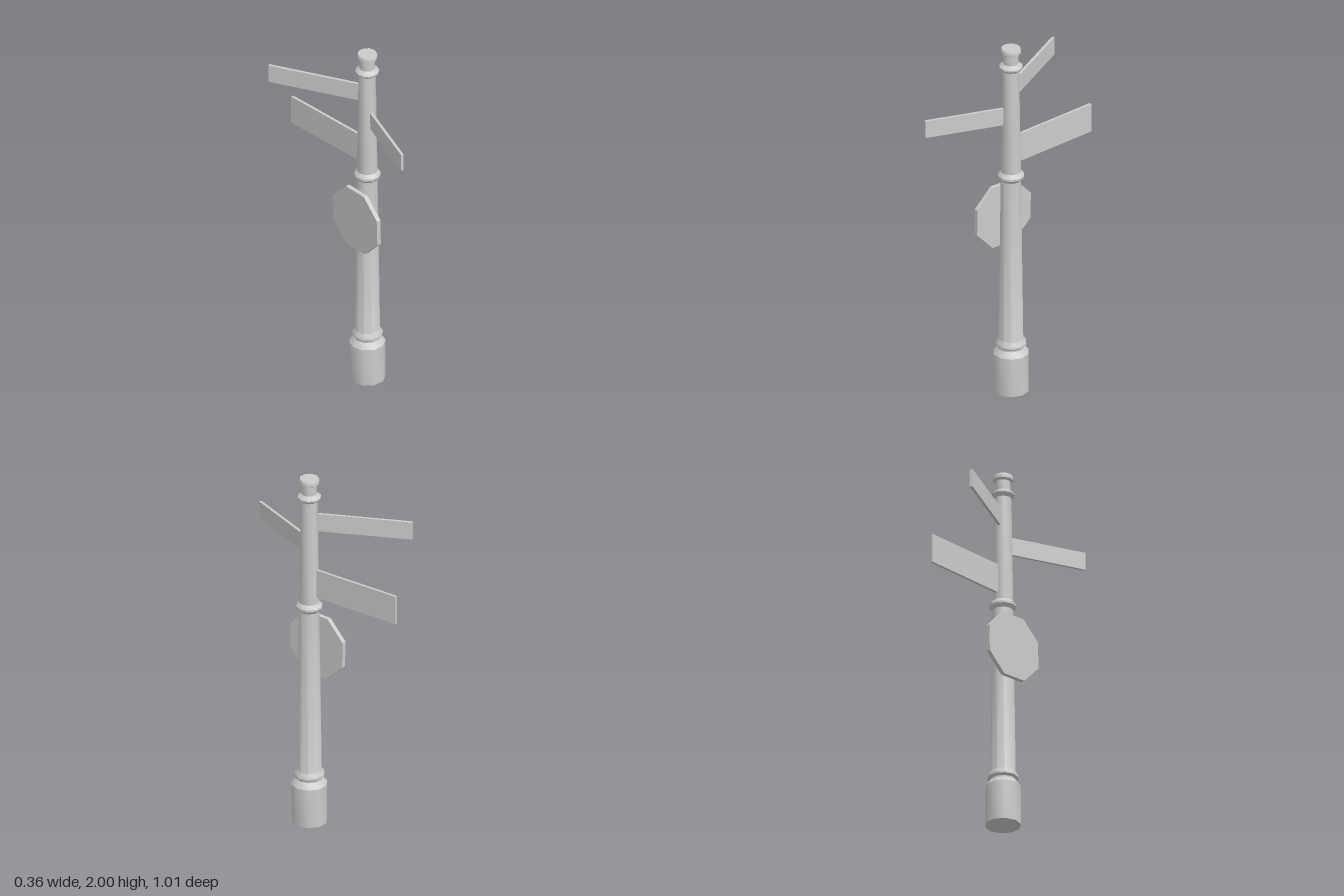
import * as THREE from 'three';
import { toCreasedNormals } from 'three/addons/utils/BufferGeometryUtils.js';

const POST_X = 0.085, POST_Z = 0.05;

export function createModel() {
  const group = new THREE.Group();
  group.name = 'signpost';
  const material = new THREE.MeshStandardMaterial({ color: 0xcccccc });

  const add = (name, geometry, x, y, z) => {
    const mesh = new THREE.Mesh(geometry, material);
    mesh.name = name;
    mesh.position.set(x, y, z);
    group.add(mesh);
    return mesh;
  };

  // Ten-sided turned post: plinth, three collars, tapering shaft and cap
  const profile = [
    [0, 0], [0.096, 0], [0.096, 0.22], [0.071, 0.25], [0.071, 0.258],
    [0.083, 0.268], [0.083, 0.28], [0.067, 0.302],
    [0.055, 1.23], [0.071, 1.248], [0.071, 1.26], [0.054, 1.28],
    [0.045, 1.87], [0.063, 1.887], [0.063, 1.896], [0.041, 1.912],
    [0.041, 1.965], [0.054, 1.973], [0.054, 1.992], [0.05, 2], [0, 2],
  ].map(([r, y]) => new THREE.Vector2(r, y));
  const post = new THREE.LatheGeometry(profile, 10, Math.PI / 10);
  add('post', toCreasedNormals(post, 0.65), POST_X, 0, POST_Z);

  // Direction boards, each running from inside the post to its outer end
  const boards = [
    { name: 'upperBoard', from: [0.065, 0.005], to: [-0.175, -0.432], y: [1.70, 1.80] },
    { name: 'middleBoard', from: [0.077, 0.09], to: [-0.061, 0.502], y: [1.56, 1.657] },
    { name: 'lowerBoard', from: [0.079, 0], to: [0.046, -0.505], y: [1.317, 1.477] },
  ];
  for (const { name, from, to, y } of boards) {
    const dx = to[0] - from[0], dz = to[1] - from[1];
    const geometry = new THREE.BoxGeometry(Math.hypot(dx, dz), y[1] - y[0], 0.015);
    const board = add(name, geometry, (from[0] + to[0]) / 2, (y[0] + y[1]) / 2, (from[1] + to[1]) / 2);
    board.rotation.y = Math.atan2(-dz, dx);
  }

  // Octagonal plate on the side of the post, its axis along x
  const plate = toCreasedNormals(new THREE.CylinderGeometry(0.19, 0.19, 0.024, 8), 0.3);
  plate.rotateY(Math.PI / 8 + 0.02);
  plate.rotateZ(Math.PI / 2);
  add('octagonalPlate', plate, 0.015, 1, POST_Z);

  return group;
}
